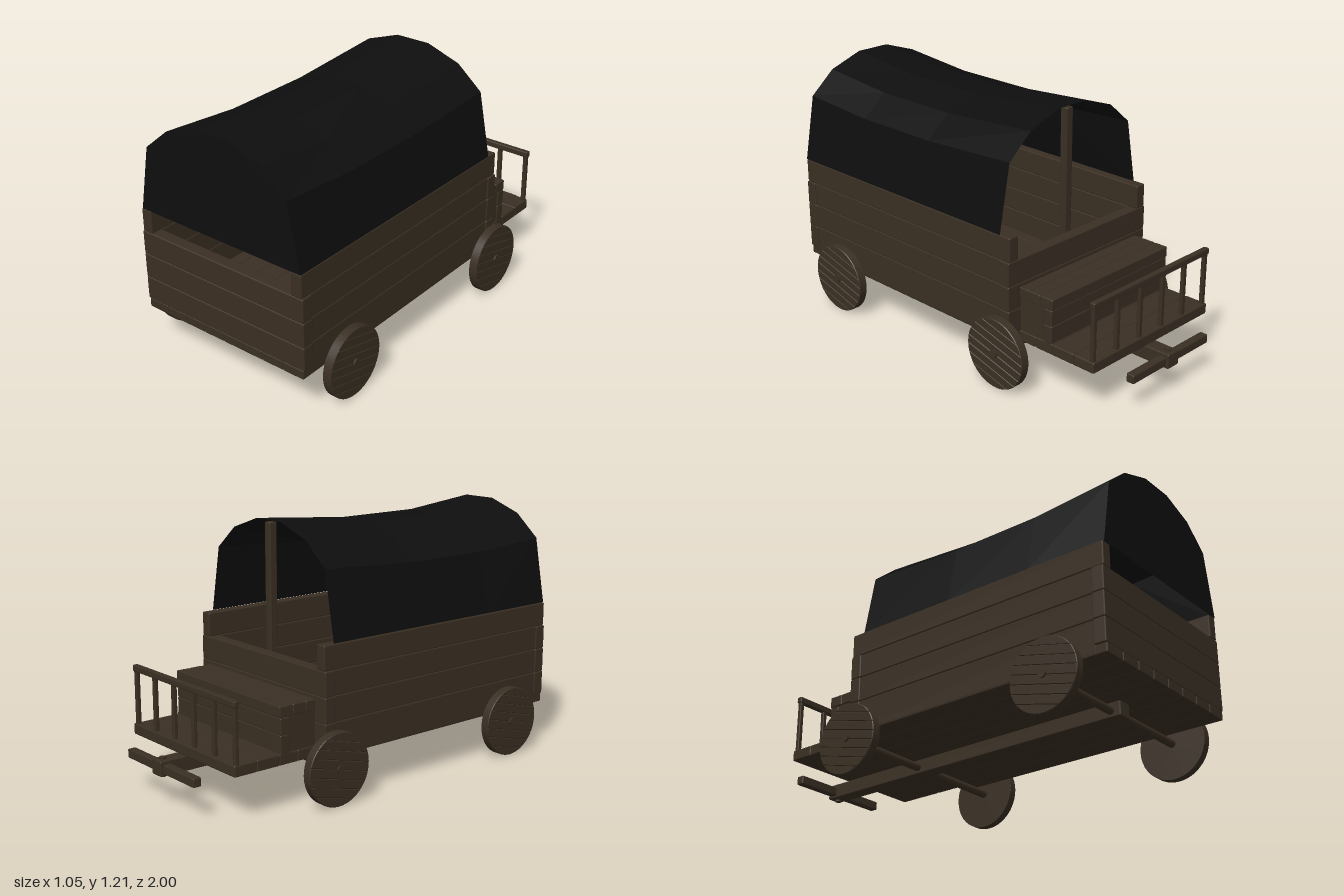
import * as THREE from 'three';
import { RoundedBoxGeometry } from 'three/addons/geometries/RoundedBoxGeometry.js';

const wood = new THREE.MeshStandardMaterial({ color: 0x3a2f23 });
wood.name = 'dark wood';
const cloth = new THREE.MeshStandardMaterial({ color: 0x0e0e0e, side: THREE.DoubleSide });
cloth.name = 'black canvas';

function add(parent, name, geometry, material = wood) {
  const mesh = new THREE.Mesh(geometry, material);
  mesh.name = name;
  parent.add(mesh);
  return mesh;
}

// Bevelled board between two corners
function board(parent, name, x0, x1, y0, y1, z0, z1) {
  const size = [x1 - x0, y1 - y0, z1 - z0];
  const geo = new RoundedBoxGeometry(...size, 1, Math.min(0.006, Math.min(...size) * 0.2));
  add(parent, name, geo).position.set((x0 + x1) / 2, (y0 + y1) / 2, (z0 + z1) / 2);
}

function part(parent, name) {
  const group = new THREE.Group();
  group.name = name;
  parent.add(group);
  return group;
}

// Wheel of planks cut to a circle, facing +z, with a backing disc
function createWheel() {
  const wheel = new THREE.Group();
  wheel.name = 'wheel';
  const R = 0.17, count = 8, bevel = 0.003;
  const planks = part(wheel, 'wheelPlanks');
  planks.rotation.z = -0.25;
  for (let i = 0; i < count; i++) {
    const a0 = Math.asin(-1 + (2 * i) / count), a1 = Math.asin(-1 + (2 * (i + 1)) / count);
    const points = [];
    for (let k = 0; k <= 6; k++) {
      const a = a0 + ((a1 - a0) * k) / 6;
      points.push(new THREE.Vector2(Math.cos(a) * R, Math.sin(a) * R));
    }
    const left = points.map(p => new THREE.Vector2(-p.x, p.y)).reverse();
    const outline = [...points, ...left].filter((p, n, all) => p.distanceTo(all[(n + 1) % all.length]) > 1e-5);
    const geo = new THREE.ExtrudeGeometry(new THREE.Shape(outline), {
      depth: 0.036, bevelEnabled: true, bevelSize: bevel, bevelThickness: bevel, bevelOffset: -bevel, bevelSegments: 1,
    });
    add(planks, 'wheelPlank', geo).position.z = 0.479;
  }
  const disc = new THREE.CylinderGeometry(R, R, 0.035, 40).rotateX(Math.PI / 2);
  add(wheel, 'wheelBacking', disc).position.z = 0.4925;
  return wheel;
}

// Sagging cover with a closed front end and an open back
function createCover(parent) {
  const cover = part(parent, 'cover');
  const half = [[0.455, 0.722], [0.395, 1.04], [0.265, 1.15], [0.09, 1.21]];
  const profile = [...half.map(([x, y]) => [-x, y]), ...half.slice().reverse()];
  const stations = [[1, 0], [0.6, 0.042], [0.15, 0.042], [-0.37, 0]];
  const point = (i, j) => {
    const [x, y] = profile[i], [z, sag] = stations[j];
    return [x, y - sag * ((y - 0.722) / 0.488), z];
  };
  const pos = [];
  for (let j = 0; j < stations.length - 1; j++) {
    for (let i = 0; i < profile.length - 1; i++) {
      const a = point(i, j), b = point(i + 1, j), c = point(i, j + 1), d = point(i + 1, j + 1);
      pos.push(...a, ...b, ...c, ...b, ...d, ...c);
    }
  }
  const geo = new THREE.BufferGeometry();
  geo.setAttribute('position', new THREE.Float32BufferAttribute(pos, 3));
  geo.computeVertexNormals();
  add(cover, 'coverRoof', geo, cloth);
  const end = new THREE.Shape(profile.map(([x, y]) => new THREE.Vector2(x, y)));
  add(cover, 'coverFrontPanel', new THREE.ShapeGeometry(end), cloth).position.z = 0.998;
  cover.position.x = 0.004;
}

export function createModel() {
  const model = new THREE.Group();
  model.name = 'coveredWagon';

  // Floor planks running lengthwise
  const floor = part(model, 'floor');
  for (let i = 0; i < 8; i++) {
    const x = -0.46 + i * 0.115;
    board(floor, 'floorPlank', x, x + 0.115, 0.21, 0.256, -0.43, 0.998);
  }

  // Side walls, the top plank running the full length
  const levels = [0.215, 0.37, 0.49, 0.607, 0.722];
  for (const s of [-1, 1]) {
    const wall = part(model, 'sideWall');
    for (let i = 0; i < 4; i++) {
      const [x0, x1] = s > 0 ? [0.405, 0.461] : [-0.461, -0.405];
      const top = i === 3;
      board(wall, 'sidePlank', x0, x1, levels[i], levels[i + 1], top ? -0.43 : -0.375, top ? 0.998 : 0.945);
    }
  }

  // Front and back walls
  for (const z of [-0.43, 0.938]) {
    const wall = part(model, z > 0 ? 'frontWall' : 'backWall');
    for (let i = 0; i < 3; i++) {
      board(wall, 'endPlank', -0.467, 0.467, i ? levels[i] : 0.254, levels[i + 1], z, z + 0.06);
    }
  }

  // Middle post holding the cover
  board(model, 'coverPost', -0.005, 0.036, 0.25, 1.2, -0.37, -0.33);
  createCover(model);

  // Driver's seat
  const seat = part(model, 'seat');
  for (const [z0, z1] of [[-0.485, -0.43], [-0.555, -0.485], [-0.628, -0.555]]) {
    board(seat, 'seatPlank', -0.4, 0.4, 0.422, 0.475, z0, z1);
  }
  for (const [y0, y1] of [[0.256, 0.345], [0.345, 0.422]]) {
    board(seat, 'seatFrontPlank', -0.4, 0.4, y0, y1, -0.625, -0.575);
  }
  for (const x of [-0.395, 0.345]) board(seat, 'seatSide', x, x + 0.05, 0.25, 0.425, -0.578, -0.43);

  // Footboard planks running across
  const footboard = part(model, 'footboard');
  for (const [z0, z1] of [[-0.53, -0.43], [-0.63, -0.53], [-0.75, -0.63], [-0.87, -0.75]]) {
    board(footboard, 'footboardPlank', -0.4, 0.4, 0.21, 0.262, z0, z1);
  }

  // Railing on the footboard
  const railing = part(model, 'railing');
  for (let i = 0; i < 6; i++) {
    const x = -0.385 + i * 0.154;
    board(railing, 'railPost', x - 0.011, x + 0.011, 0.255, 0.52, -0.862, -0.842);
  }
  board(railing, 'handrail', -0.4, 0.4, 0.512, 0.543, -0.867, -0.838);

  // Drawbar with crossbar and pin
  board(model, 'drawbar', -0.028, 0.046, 0.14, 0.211, -0.998, 0.77);
  board(model, 'crossbar', -0.26, 0.27, 0.152, 0.195, -0.985, -0.944);
  add(model, 'pin', new THREE.CylinderGeometry(0.015, 0.015, 0.09, 12)).position.set(0.009, 0.176, -0.965);

  // Axles and wheels
  for (const z of [0.72, -0.39]) {
    const axle = new THREE.CylinderGeometry(0.019, 0.019, 1.054, 12).rotateZ(Math.PI / 2);
    add(model, 'axle', axle).position.set(0, 0.172, z);
    for (const s of [-1, 1]) {
      const wheel = createWheel();
      wheel.rotation.y = (s * Math.PI) / 2;
      wheel.position.set(0, 0.17, z);
      model.add(wheel);
    }
  }
  return model;
}
